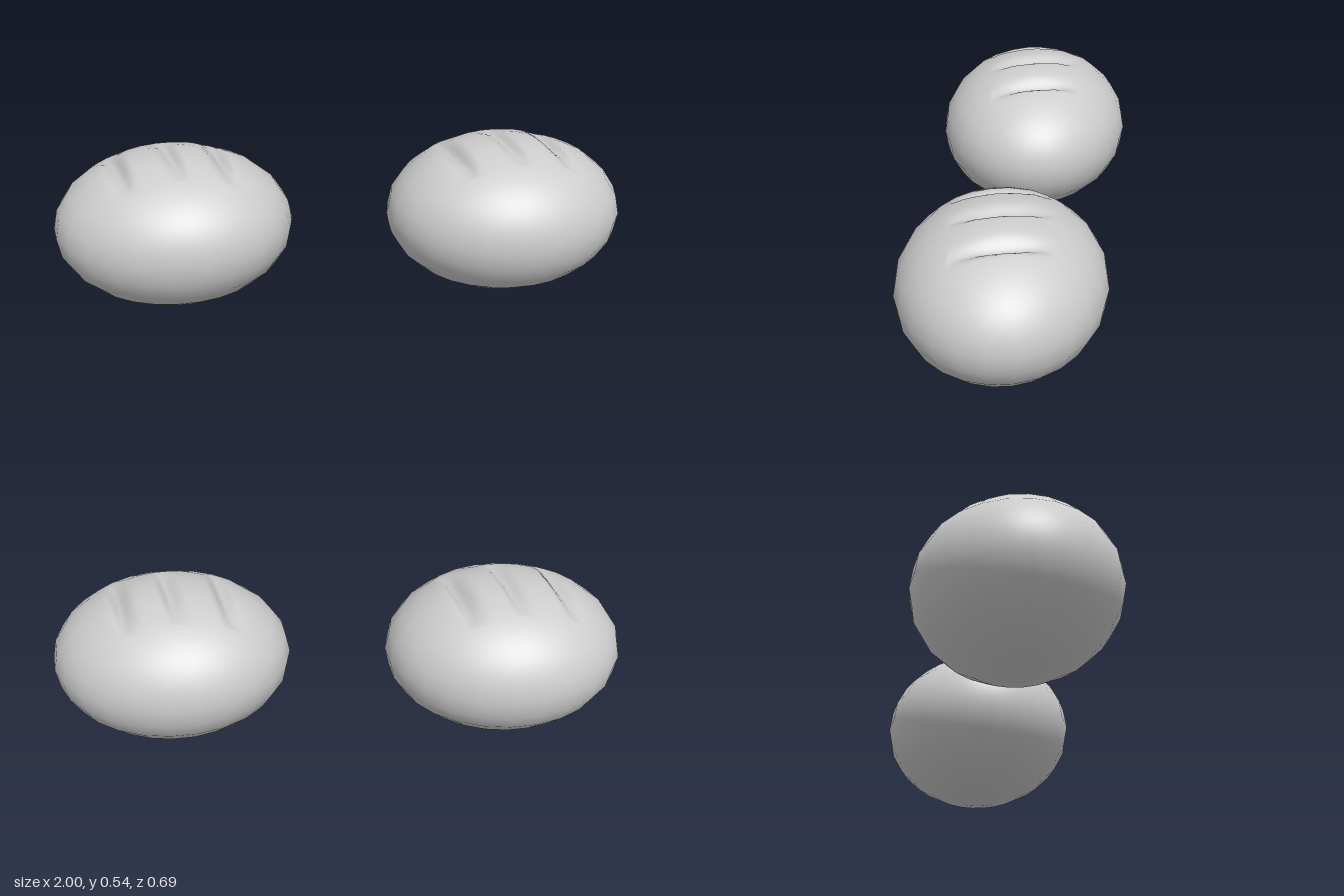
import * as THREE from 'three';

const RX = 0.416, RY = 0.271, RZ = 0.345;   // bun radii
const COLS = 24, ROWS = 12, FINE = 8;       // coarse facets, each finely divided

// Depth of the three slanted slashes across the top
const slashes = [
  { x: -0.182, z: 0.02, depth: 0.03 },
  { x: 0, z: 0.0, depth: 0.025 },
  { x: 0.168, z: -0.02, depth: 0.03 },
];
function slashDepth(x, z) {
  let d = 0;
  for (const s of slashes) {
    const dz = z - s.z;
    const across = x - s.x - dz * 0.24;
    const width = across < 0 ? 0.034 : 0.022;
    const along = Math.max(0, 1 - (dz / 0.165) ** 2);
    d += s.depth * Math.exp(-((across / width) ** 2)) * along;
  }
  return d;
}

// Point on the coarse ellipsoid grid
function gridPoint(i, j) {
  const a = (i / COLS) * Math.PI * 2, p = (j / ROWS) * Math.PI;
  return new THREE.Vector3(
    -RX * Math.cos(a) * Math.sin(p), RY * Math.cos(p), RZ * Math.sin(a) * Math.sin(p));
}

function bunGeometry() {
  const w = COLS * FINE, h = ROWS * FINE;
  const geo = new THREE.SphereGeometry(1, w, h);
  const pos = geo.attributes.position, nor = geo.attributes.normal;
  for (let iy = 0, k = 0; iy <= h; iy++) {
    for (let ix = 0; ix <= w; ix++, k++) {
      // Lay the fine vertex on its coarse facet
      const i = Math.min(COLS - 1, Math.floor(ix / FINE));
      const j = Math.min(ROWS - 1, Math.floor(iy / FINE));
      const u = ix / FINE - i, v = iy / FINE - j;
      const p = gridPoint(i, j).lerp(gridPoint(i + 1, j), u)
        .lerp(gridPoint(i, j + 1).lerp(gridPoint(i + 1, j + 1), u), v);
      // Smooth ellipsoid normal, bent by the slope of the slashes
      const s = gridPoint(ix / FINE, iy / FINE);
      const n = new THREE.Vector3(s.x / RX ** 2, s.y / RY ** 2, s.z / RZ ** 2).normalize();
      if (p.y > 0) {
        const e = 0.002;
        n.x += n.y * (slashDepth(p.x + e, p.z) - slashDepth(p.x - e, p.z)) / (2 * e);
        n.z += n.y * (slashDepth(p.x, p.z + e) - slashDepth(p.x, p.z - e)) / (2 * e);
        n.normalize();
        p.y -= slashDepth(p.x, p.z);
      }
      pos.setXYZ(k, p.x, p.y, p.z);
      nor.setXYZ(k, n.x, n.y, n.z);
    }
  }
  return geo;
}

export function createModel() {
  const group = new THREE.Group();
  group.name = 'bunPair';
  const dough = new THREE.MeshStandardMaterial({ color: 0xcccccc });
  dough.name = 'paleDough';
  const geo = bunGeometry();
  for (const [name, x] of [['rightBun', -0.584], ['leftBun', 0.584]]) {
    const bun = new THREE.Mesh(geo, dough);
    bun.name = name;
    bun.position.set(x, 0.272, 0);
    group.add(bun);
  }
  return group;
}
